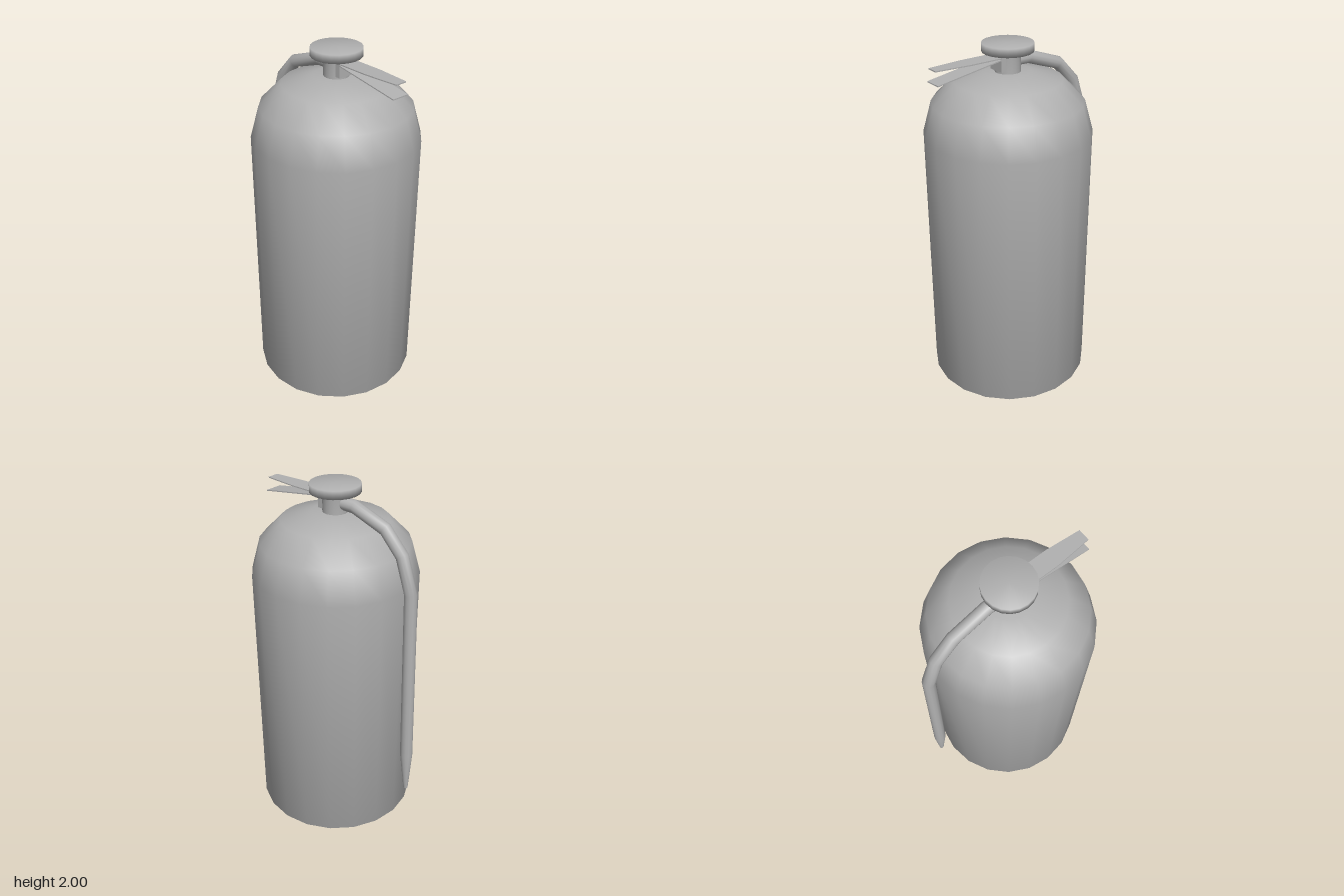
import * as THREE from 'three';

export function createModel() {
  const model = new THREE.Group();
  const grey = new THREE.MeshStandardMaterial({ color: 0xb0b0b0, side: THREE.DoubleSide });
  grey.name = 'grey';
  const axisX = 0.055; // the tank sits off-centre because of the hose

  const add = (name, geometry, x = 0, y = 0) => {
    const mesh = new THREE.Mesh(geometry, grey);
    mesh.name = name;
    mesh.position.set(x, y, 0);
    model.add(mesh);
    return mesh;
  };
  const lathe = (name, profile) =>
    add(name, new THREE.LatheGeometry(profile.map(([r, y]) => new THREE.Vector2(r, y)), 20), axisX);

  // Tank with a stepped shoulder
  lathe('tank', [[0, 0], [0.464, 0], [0.464, 1.51], [0.415, 1.685], [0.295, 1.806], [0.125, 1.846], [0, 1.846]]);

  // Valve neck and round knob
  lathe('neck', [[0.07, 1.84], [0.07, 1.935], [0.077, 1.937], [0.077, 1.956]]);
  lathe('knob', [[0, 1.954], [0.139, 1.954], [0.139, 2], [0, 2]]);

  // Block that holds the levers
  add('leverMount', new THREE.BoxGeometry(0.1, 0.08, 0.1), 0.082, 1.9);

  // Thin levers: [x, y, half width] along the length
  const lever = (name, stations) => {
    const t = 0.003;
    const pos = [], index = [];
    stations.forEach(([x, y, w]) =>
      pos.push(x, y + t, w, x, y + t, -w, x, y - t, -w, x, y - t, w));
    for (let i = 0; i < stations.length - 1; i++)
      for (let k = 0; k < 4; k++) {
        const a = i * 4 + k, b = i * 4 + (k + 1) % 4;
        index.push(a, a + 4, b, b, a + 4, b + 4);
      }
    const e = (stations.length - 1) * 4;
    index.push(0, 1, 2, 0, 2, 3, e, e + 2, e + 1, e, e + 3, e + 2);
    const g = new THREE.BufferGeometry();
    g.setAttribute('position', new THREE.Float32BufferAttribute(pos, 3));
    g.setIndex(index);
    const flat = g.toNonIndexed();
    flat.computeVertexNormals();
    add(name, flat);
  };
  lever('upperLever', [[0.1, 1.935, 0.05], [0.32, 1.935, 0.05], [0.517, 1.935, 0.033]]);
  lever('lowerLever', [[0.1, 1.931, 0.05], [0.517, 1.864, 0.05]]);

  // Hose: rings mitred along a bent path, narrowing to a nozzle
  const path = [
    [0.02, 1.902, 0.036], [-0.08, 1.9, 0.036], [-0.283, 1.83, 0.036], [-0.395, 1.712, 0.036],
    [-0.46, 1.518, 0.036], [-0.484, 0.485, 0.036], [-0.492, 0.235, 0.013],
  ];
  const sides = 12;
  const pos = [], index = [];
  path.forEach(([x, y, r], i) => {
    const dir = (a, b) => new THREE.Vector2(b[0] - a[0], b[1] - a[1]).normalize();
    const d0 = dir(path[Math.max(i - 1, 0)], path[Math.max(i, 1)]);
    const d1 = i < path.length - 1 ? dir(path[i], path[i + 1]) : d0;
    const tangent = d0.clone().add(d1).normalize();
    for (let k = 0; k < sides; k++) {
      const a = (k / sides) * Math.PI * 2;
      pos.push(x - tangent.y * r * Math.cos(a), y + tangent.x * r * Math.cos(a), r * Math.sin(a));
    }
  });
  for (let i = 0; i < path.length - 1; i++)
    for (let k = 0; k < sides; k++) {
      const a = i * sides + k, b = i * sides + (k + 1) % sides;
      index.push(a, a + sides, b, b, a + sides, b + sides);
    }
  // Nozzle end cap
  const last = (path.length - 1) * sides;
  for (let k = 1; k < sides - 1; k++) index.push(last, last + k + 1, last + k);
  const hose = new THREE.BufferGeometry();
  hose.setAttribute('position', new THREE.Float32BufferAttribute(pos, 3));
  hose.setIndex(index);
  // Face outward
  for (let i = 0; i < index.length; i += 3) hose.index.setXYZ
    ? hose.index.array.subarray(i, i + 3).reverse()
    : null;
  hose.computeVertexNormals();
  add('hose', hose);

  return model;
}
